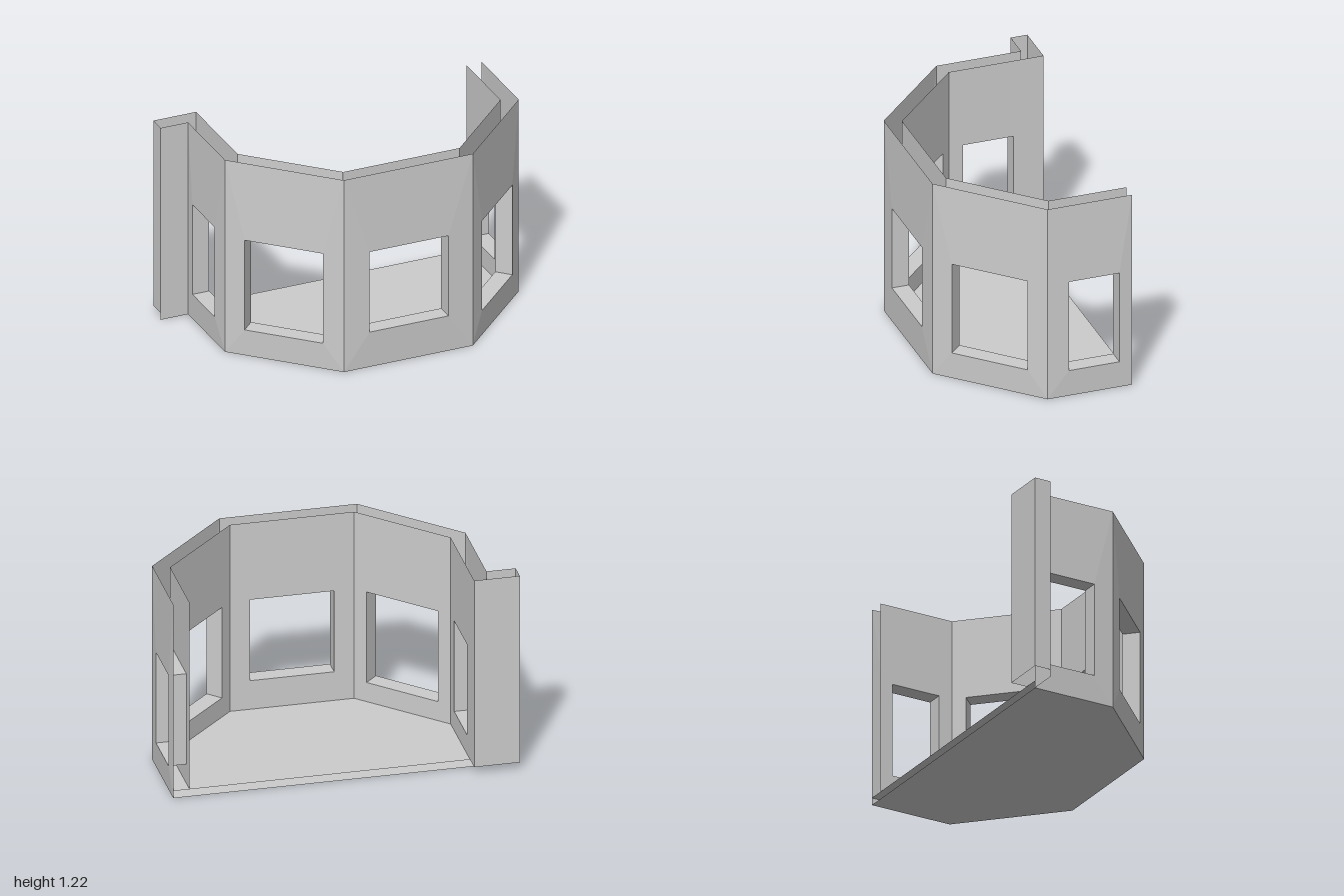
import * as THREE from 'three';

const HEIGHT = 1.22, FLOOR = 0.045, THICK = 0.095, BULGE = 0.008;

export function createModel() {
  const group = new THREE.Group();
  const plaster = new THREE.MeshStandardMaterial({ color: 0xcccccc, side: THREE.DoubleSide });
  plaster.name = 'greyPlaster';

  function add(name, geometry, parent = group) {
    const flat = geometry.index ? geometry.toNonIndexed() : geometry;
    flat.computeVertexNormals();
    const mesh = new THREE.Mesh(flat, plaster);
    mesh.name = name;
    parent.add(mesh);
  }

  const rectangle = (path, u0, u1, y0, y1) => path.setFromPoints([
    [u0, y0], [u1, y0], [u1, y1], [u0, y1]].map(c => new THREE.Vector2(...c)));

  // Upright sheet along a line; place(u, y, depth) puts local coordinates in the room
  function sheet(place, u0, u1, y0, hole, depth, bulge, inward) {
    const shape = rectangle(new THREE.Shape(), u0, u1, y0, HEIGHT);
    if (hole) shape.holes.push(rectangle(new THREE.Path(), ...hole));
    const geo = new THREE.ShapeGeometry(shape);
    const pos = geo.attributes.position;
    for (let i = 0; i < pos.count; i++) {
      const u = pos.getX(i), y = pos.getY(i);
      const onFrame = u > u0 + 0.01 && u < u1 - 0.01;
      pos.setXYZ(i, ...place(u, y, onFrame ? depth - bulge : depth));
    }
    if (inward) geo.index.array.reverse();
    return geo;
  }

  function placer([px, pz], [qx, qz]) {
    const length = Math.hypot(qx - px, qz - pz);
    const dx = (qx - px) / length, dz = (qz - pz) / length;
    // the outward direction is (-dz, dx)
    const place = (u, y, d = 0) => [px + dx * u + dz * d, y, pz + dz * u - dx * d];
    return { place, length };
  }

  // Four faces lining a window opening from outer to inner sheet
  function reveal(place, [u0, u1, y0, y1]) {
    const ring = [[u0, y0], [u1, y0], [u1, y1], [u0, y1]];
    const points = [-BULGE, THICK].flatMap(d => ring.flatMap(([u, y]) => place(u, y, d)));
    const index = [];
    for (let i = 0; i < 4; i++) {
      const j = (i + 1) % 4;
      index.push(i, j, j + 4, i, j + 4, i + 4);
    }
    const geo = new THREE.BufferGeometry();
    geo.setAttribute('position', new THREE.Float32BufferAttribute(points, 3));
    geo.setIndex(index);
    return geo;
  }

  // Bay outline, and for each wall its window and the inset of its inner sheet
  const outline = [[-0.83, -0.46], [-0.83, 0.05], [-0.32, 0.555], [0.48, 0.555], [0.992, 0.05], [0.992, -0.46]];
  const m = THICK * Math.tan(Math.PI / 8);
  const walls = [
    { name: 'rightWall', hole: [0.08, 0.385, 0.165, 0.735], inset: [-0.1, m] },
    { name: 'rightDiagonalWall', hole: [0.122, 0.596, 0.165, 0.735], inset: [m, m] },
    { name: 'frontWall', hole: [0.155, 0.645, 0.225, 0.735], inset: [m, m] },
    { name: 'leftDiagonalWall', hole: [0.124, 0.598, 0.165, 0.735], inset: [m, m] },
    { name: 'leftWall', hole: [0.125, 0.43, 0.165, 0.735], inset: [m, 0] },
  ];
  walls.forEach(({ name, hole, inset }, i) => {
    const { place, length } = placer(outline[i], outline[i + 1]);
    const wall = new THREE.Group();
    wall.name = name;
    group.add(wall);
    add('outerSheet', sheet(place, 0, length, 0, hole, 0, BULGE, false), wall);
    add('innerSheet', sheet(place, inset[0], length - inset[1], FLOOR, hole, THICK, 0, true), wall);
    add('windowReveal', reveal(place, hole), wall);
  });

  // Short return of the wall at the right rear
  const returns = [
    ['returnFront', [-1, -0.46], [-0.83, -0.46], 0],
    ['returnSide', [-1, -0.56], [-1, -0.46], FLOOR],
    ['returnBack', [-0.735, -0.56], [-1, -0.56], FLOOR],
  ];
  for (const [name, p, q, y0] of returns) {
    const { place, length } = placer(p, q);
    add(name, sheet(place, 0, length, y0, null, 0, 0, false));
  }

  // Floor and underside
  const plan = new THREE.Shape(outline.map(([x, z]) => new THREE.Vector2(x, -z)));
  add('floor', new THREE.ShapeGeometry(plan).rotateX(-Math.PI / 2).translate(0, FLOOR, 0));
  const under = new THREE.ShapeGeometry(plan).rotateX(-Math.PI / 2);
  under.index.array.reverse();
  add('underside', under);

  return group;
}
